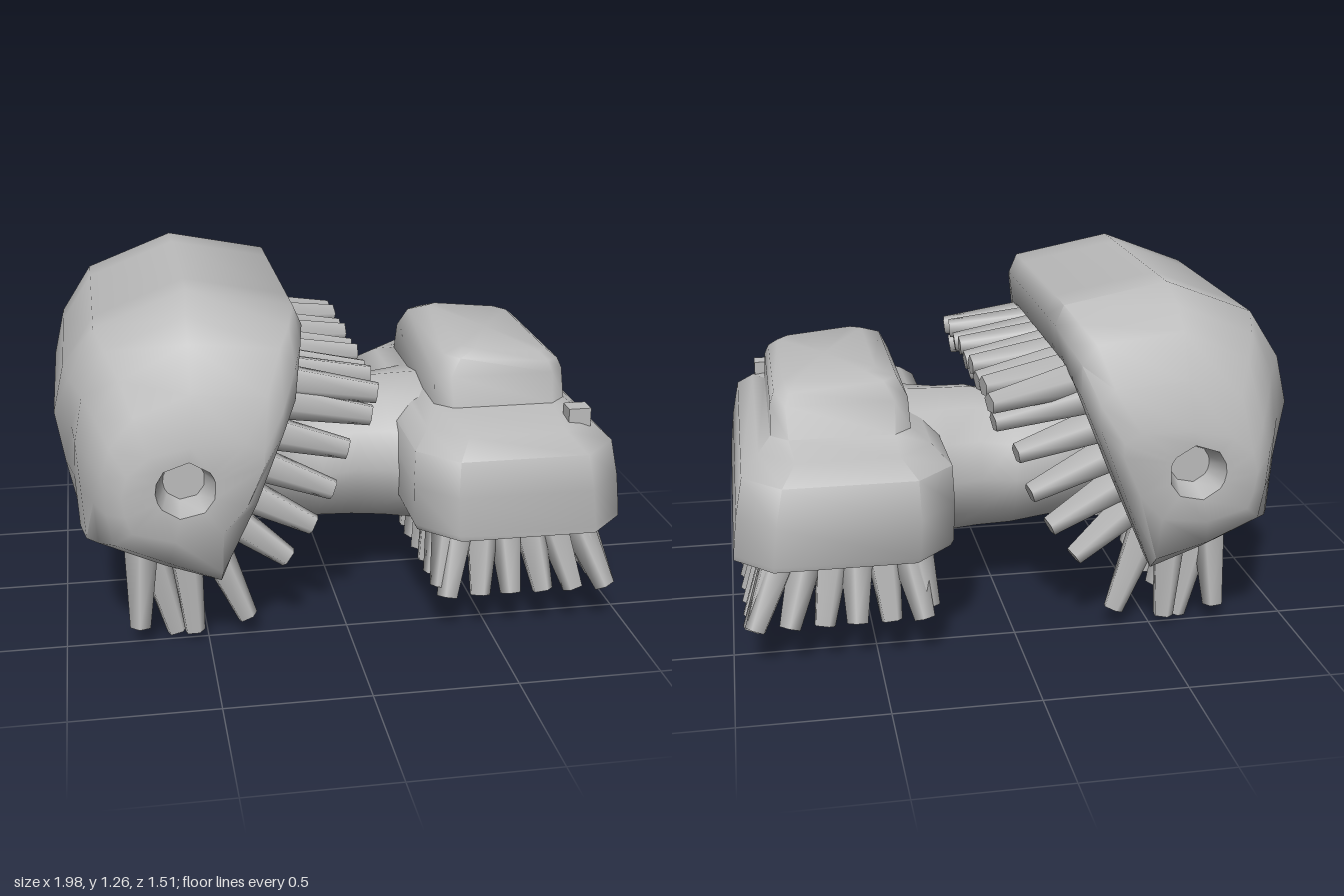
import * as THREE from 'three';
import { toCreasedNormals } from 'three/addons/utils/BufferGeometryUtils.js';

const V = (x, y, z) => new THREE.Vector3(x, y, z);

// Skin a list of equal-length loops, closing both ends at their centres
function loft(loops) {
  const n = loops[0].length, pts = loops.flat(), idx = [];
  for (let r = 0; r < loops.length - 1; r++) {
    for (let i = 0; i < n; i++) {
      const a = r * n + i, b = r * n + (i + 1) % n;
      idx.push(a, b, b + n, a, b + n, a + n);
    }
  }
  [0, loops.length - 1].forEach((r) => {
    const mid = loops[r].reduce((s, p) => s.add(p), V(0, 0, 0)).divideScalar(n);
    const c = pts.push(mid) - 1;
    for (let i = 0; i < n; i++) {
      const a = r * n + i, b = r * n + (i + 1) % n;
      if (r === 0) idx.push(c, b, a); else idx.push(c, a, b);
    }
  });
  // Face outwards whichever way the loops run
  let volume = 0;
  for (let i = 0; i < idx.length; i += 3) {
    volume += pts[idx[i]].dot(pts[idx[i + 1]].clone().cross(pts[idx[i + 2]]));
  }
  if (volume < 0) idx.reverse();
  const g = new THREE.BufferGeometry().setFromPoints(pts);
  g.setIndex(idx);
  return toCreasedNormals(g, 1.05);
}

// Rectangle with chamfered corners, level or sloping down by tilt towards +x
function ring(y, x0, x1, z0, z1, c, tilt = 0) {
  return [[x0 + c, z0], [x1 - c, z0], [x1, z0 + c], [x1, z1 - c],
    [x1 - c, z1], [x0 + c, z1], [x0, z1 - c], [x0, z0 + c]]
    .map(([x, z]) => V(x, y - tilt * (x - x0), z));
}

// Oval across the neck, leaning by a slope in x per unit of height
function oval(x, y, ry, rz, lean = 0) {
  return Array.from({ length: 12 }, (_, i) => {
    const a = (i / 12) * Math.PI * 2;
    return V(x + lean * ry * Math.sin(a), y + ry * Math.sin(a), rz * Math.cos(a));
  });
}

export function createModel() {
  const model = new THREE.Group();
  const grey = new THREE.MeshStandardMaterial({ color: 0xbcbcbc });
  const add = (name, geo, parent = model) => {
    const m = new THREE.Mesh(geo, grey);
    m.name = name;
    parent.add(m);
    return m;
  };

  // Tilted hood: side profiles lofted along z, the middle ones hollowed out
  const middle = [[-0.93, 0.43], [-0.97, 0.62], [-1, 0.8], [-0.96, 0.97], [-0.85, 1.14],
    [-0.54, 1.26], [-0.18, 1.19], [-0.15, 1.12], [-0.18, 0.99], [-0.41, 0.83], [-0.64, 0.57], [-0.76, 0.38]];
  const cheek = [[-0.91, 0.43], [-0.92, 0.61], [-0.93, 0.78], [-0.9, 0.94], [-0.82, 1.09],
    [-0.55, 1.2], [-0.21, 1.15], [-0.17, 1.08], [-0.19, 0.95], [-0.33, 0.6], [-0.47, 0.27], [-0.65, 0.33]];
  const side = [[-0.87, 0.45], [-0.88, 0.6], [-0.89, 0.75], [-0.86, 0.89], [-0.78, 1.02],
    [-0.55, 1.13], [-0.25, 1.1], [-0.2, 1.03], [-0.2, 0.92], [-0.33, 0.6], [-0.46, 0.28], [-0.65, 0.35]];
  const flank = [[-0.82, 0.47], [-0.84, 0.58], [-0.85, 0.71], [-0.82, 0.81], [-0.74, 0.91],
    [-0.55, 0.98], [-0.3, 0.96], [-0.25, 0.91], [-0.25, 0.83], [-0.34, 0.59], [-0.46, 0.34], [-0.64, 0.39]];
  const end = [[-0.76, 0.53], [-0.78, 0.59], [-0.79, 0.66], [-0.77, 0.73], [-0.7, 0.79],
    [-0.56, 0.82], [-0.38, 0.82], [-0.32, 0.79], [-0.32, 0.74], [-0.38, 0.6], [-0.46, 0.51], [-0.62, 0.49]];
  // Round dent in the middle of each end
  const dent = (r) => end.map(([x, y]) => {
    const d = new THREE.Vector2(x + 0.58, y - 0.67).setLength(r);
    return [-0.58 + d.x, 0.67 + d.y];
  });
  const half = [[0.28, middle], [0.43, middle], [0.54, cheek], [0.63, side], [0.7, flank],
    [0.755, end], [0.755, dent(0.1)], [0.655, dent(0.07)]];
  const stations = [...half.map(([z, p]) => [-z, p]).reverse(), ...half];
  // The front part of the rounded back is cut a little flatter
  add('hood', loft(stations.map(([z, p]) => p.map(([x, y]) => V(z > 0.3 ? Math.max(x, -0.94) : x, y, z)))));

  // Lower body with a raised block on top and a recess underneath
  add('body', loft([
    ring(0.44, 0.4, 0.8, -0.52, 0.5, 0.08),
    ring(0.4, 0.33, 0.87, -0.6, 0.58, 0.1),
    ring(0.39, 0.24, 0.98, -0.7, 0.69, 0.13),
    ring(0.41, 0.23, 0.98, -0.705, 0.69, 0.13),
    ring(0.55, 0.225, 0.965, -0.71, 0.69, 0.13),
    ring(0.68, 0.23, 0.94, -0.69, 0.68, 0.13),
    ring(0.735, 0.29, 0.88, -0.6, 0.59, 0.12),
    ring(0.765, 0.35, 0.835, -0.45, 0.37, 0.06),
    ring(0.87, 0.355, 0.83, -0.41, 0.335, 0.05),
    ring(0.94, 0.39, 0.815, -0.38, 0.325, 0.05, 0.08),
    ring(0.965, 0.46, 0.78, -0.33, 0.29, 0.04, 0.1),
  ]));
  const nub = add('nub', new THREE.BoxGeometry(0.08, 0.1, 0.07));
  nub.position.set(0.83, 0.74, 0.48);

  // Bent neck, flaring out inside both ends
  add('neck', loft([
    oval(-0.55, 0.7, 0.24, 0.38, 0.7),
    oval(-0.38, 0.61, 0.25, 0.36, 0.6),
    oval(-0.22, 0.53, 0.24, 0.29, 0.4),
    oval(-0.05, 0.5, 0.25, 0.28),
    oval(0.08, 0.515, 0.27, 0.29),
    oval(0.2, 0.51, 0.275, 0.3),
    oval(0.36, 0.51, 0.28, 0.4),
    oval(0.7, 0.54, 0.2, 0.42),
  ]));

  // One stout tapered bristle from root to tip
  const bristleGeo = new THREE.CylinderGeometry(0.038, 0.068, 1, 5);
  bristleGeo.translate(0, 0.5, 0);
  const up = V(0, 1, 0);
  const bristle = (parent, root, tip) => {
    const m = add('bristle', bristleGeo, parent);
    const d = tip.clone().sub(root);
    m.position.copy(root);
    m.scale.y = d.length();
    m.quaternion.setFromUnitVectors(up, d.normalize());
  };

  // Hood bristles: upper row, lower row and a fan down each side
  const hoodBristles = new THREE.Group();
  hoodBristles.name = 'hoodBristles';
  model.add(hoodBristles);
  for (let i = 0; i < 9; i++) {
    const t = i / 4 - 1;
    bristle(hoodBristles, V(-0.28, 0.94, t * 0.44), V(0.1, 0.89 + 0.02 * (i % 2), t * 0.53 - 0.02));
  }
  for (let i = 0; i < 8; i++) {
    const t = i / 3.5 - 1;
    bristle(hoodBristles, V(-0.72, 0.43, t * 0.42), V(-0.61, 0.01, t * 0.46));
  }
  const fan = [[-0.27, 0.87, 0.08, 0.81], [-0.3, 0.76, 0, 0.69], [-0.34, 0.65, -0.05, 0.54],
    [-0.38, 0.54, -0.12, 0.41], [-0.43, 0.45, -0.21, 0.29], [-0.49, 0.37, -0.36, 0.07],
    [-0.58, 0.4, -0.55, 0.03], [-0.72, 0.42, -0.74, 0.06]];
  for (const s of [-1, 1]) {
    fan.forEach(([x, y, tx, ty]) => bristle(hoodBristles, V(x, y, s * 0.46), V(tx, ty, s * 0.51)));
  }

  // Body bristles: around the rim, splayed outwards
  const bodyBristles = new THREE.Group();
  bodyBristles.name = 'bodyBristles';
  model.add(bodyBristles);
  for (let i = 0; i < 12; i++) {
    const t = i / 5.5 - 1;
    bristle(bodyBristles, V(0.37, 0.43, t * 0.53), V(0.32, 0.18, t * 0.6));
    bristle(bodyBristles, V(0.81, 0.43, t * 0.53), V(0.93, 0.14, t * 0.6));
  }
  for (let i = 0; i < 6; i++) {
    const t = i / 2.5 - 1;
    for (const s of [-1, 1]) {
      bristle(bodyBristles, V(0.6 + t * 0.2, 0.43, s * 0.53), V(0.63 + t * 0.29, 0.15, s * 0.63));
    }
  }
  return model;
}
